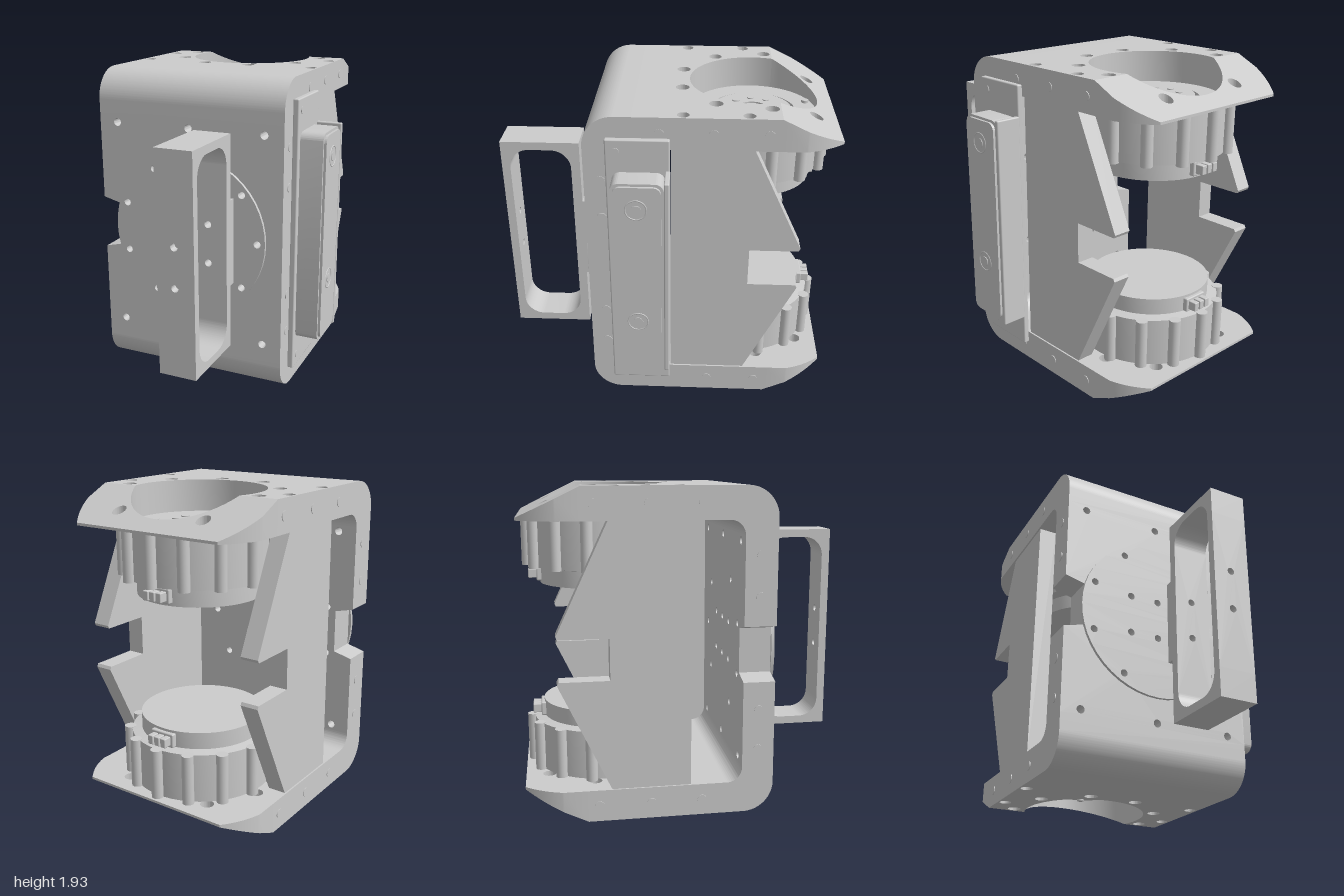
import * as THREE from 'three';
import { toCreasedNormals } from 'three/addons/utils/BufferGeometryUtils.js';
import { RoundedBoxGeometry } from 'three/addons/geometries/RoundedBoxGeometry.js';

const grey = new THREE.MeshStandardMaterial({ color: 0xcccccc });
const SIDES = [-1, 1];

function add(parent, name, geo, x = 0, y = 0, z = 0) {
  const mesh = new THREE.Mesh(geo, grey);
  mesh.name = name;
  mesh.position.set(x, y, z);
  parent.add(mesh);
  return mesh;
}

const poly = (pts) => new THREE.Shape(pts.map(([a, b]) => new THREE.Vector2(a, b)));

function drill(shape, list, r) {
  for (const [a, b] of list) {
    shape.holes.push(new THREE.Path().absarc(a, b, r, 0, Math.PI * 2, true));
  }
  return shape;
}

function extrude(shape, depth) {
  const geo = new THREE.ExtrudeGeometry(shape, { depth, bevelEnabled: false, curveSegments: 24 });
  return toCreasedNormals(geo, 0.5);
}

// shape drawn in (z, y), spanning x0..x1
function alongX(shape, x0, x1) {
  return extrude(shape, x1 - x0).rotateY(-Math.PI / 2).translate(x1, 0, 0);
}

// shape drawn in (x, -z), spanning y0..y1
function alongY(shape, y0, y1) {
  return extrude(shape, y1 - y0).rotateX(-Math.PI / 2).translate(0, y0, 0);
}

function box(parent, name, x0, x1, y0, y1, z0, z1, r = 0.008) {
  const geo = new RoundedBoxGeometry(x1 - x0, y1 - y0, z1 - z0, 2, r);
  return add(parent, name, geo, (x0 + x1) / 2, (y0 + y1) / 2, (z0 + z1) / 2);
}

function roundRect(x0, x1, y0, y1, r) {
  const s = new THREE.Shape();
  s.absarc(x1 - r, y1 - r, r, 0, Math.PI / 2);
  s.absarc(x0 + r, y1 - r, r, Math.PI / 2, Math.PI);
  s.absarc(x0 + r, y0 + r, r, Math.PI, Math.PI * 1.5);
  s.absarc(x1 - r, y0 + r, r, Math.PI * 1.5, Math.PI * 2);
  return s;
}

// screw head lying on a side face
function sideScrew(parent, x, y, z, r) {
  add(parent, 'sideScrew', new THREE.CylinderGeometry(r, r, 0.008, 20).rotateZ(Math.PI / 2), x, y, z);
}

const AXIS = 0.51; // distance of the motor axis behind the centre

function createMotor() {
  const g = new THREE.Group();
  g.name = 'motor';
  g.position.z = -AXIS;
  const profile = [[0, 0.37], [0.37, 0.37], [0.37, 0.47], [0.43, 0.48], [0.43, 0.774], [0.26, 0.774],
    [0.26, 0.75], [0.235, 0.75], [0.235, 0.785], [0.085, 0.785], [0.085, 0.765], [0.065, 0.765],
    [0.065, 0.785], [0.03, 0.785], [0.03, 0.765], [0, 0.765]];
  const lathe = new THREE.LatheGeometry(profile.map(([a, b]) => new THREE.Vector2(a, b)), 64);
  add(g, 'motorBody', toCreasedNormals(lathe, 0.5));
  // bosses round the casing
  for (let i = 0; i < 14; i++) {
    const a = (i + 0.5) / 14 * Math.PI * 2;
    add(g, 'casingBoss', new THREE.CylinderGeometry(0.035, 0.035, 0.3, 16),
      Math.cos(a) * 0.442, 0.625, Math.sin(a) * 0.442);
  }
  // screws in the output flange
  for (let i = 0; i < 9; i++) {
    const a = i / 9 * Math.PI * 2 + 0.3;
    const r = i % 3 ? 0.02 : 0.026;
    add(g, 'flangeScrew', new THREE.CylinderGeometry(r, r, 0.008, 16),
      Math.cos(a) * 0.145, 0.787, Math.sin(a) * 0.145);
  }
  add(g, 'locatingPin', new THREE.CylinderGeometry(0.022, 0.022, 0.02, 16), -0.12, 0.78, -0.33);
  // cable connector at the back
  box(g, 'connectorBase', -0.08, 0.08, 0.385, 0.47, -0.39, -0.33);
  for (const x of [-0.045, 0, 0.045]) box(g, 'connectorSocket', x - 0.018, x + 0.018, 0.4, 0.455, -0.44, -0.38, 0.005);
  return g;
}

// one end of the housing: plate, rounded front corner and motor
function createEnd(name) {
  const g = new THREE.Group();
  g.name = name;
  const R = 0.385, split = 0.64, low = 0.775, high = 0.965;
  const a0 = Math.asin((split - AXIS) / R), u = R * Math.cos(a0);
  const both = (list) => list.flatMap(([x, d]) => [[x, d], [-x, d]]);
  const small = both([[0.555, 0.46], [0.555, 0.1]]);
  const large = both([[0.45, 0.59], [0.39, 0.28], [0.15, 0.085]]);
  const rear = both([[0.29, 0.86]]);

  const flat = poly([[-0.6, -0.18], [0.6, -0.18], [0.6, split], [u, split]]);
  flat.absarc(0, AXIS, R, a0, Math.PI - a0, true);
  flat.lineTo(-0.6, split);
  drill(drill(flat, small, 0.035), large, 0.04);
  add(g, 'endPlate', alongY(flat, low, high));

  // tapered rear lip
  const lip = poly([[-0.6, split], [-u, split]]);
  lip.absarc(0, AXIS, R, Math.PI - a0, a0, true);
  lip.lineTo(0.6, split);
  lip.lineTo(0.6, 0.78);
  lip.quadraticCurveTo(0.57, 0.9, 0.48, 1);
  lip.lineTo(-0.48, 1);
  lip.quadraticCurveTo(-0.57, 0.9, -0.6, 0.78);
  const lipGeo = alongY(drill(lip, rear, 0.04), low, high);
  const p = lipGeo.attributes.position;
  for (let i = 0; i < p.count; i++) {
    if (p.getY(i) > 0.9) p.setY(i, high - (-p.getZ(i) - split) / (1 - split) * 0.175);
  }
  add(g, 'rearLip', toCreasedNormals(lipGeo, 0.3));

  // counterbore floors
  for (const [x, d] of [...small, ...large, ...rear]) {
    add(g, 'counterbore', new THREE.RingGeometry(0.018, 0.041, 20).rotateX(-Math.PI / 2), x, d > split ? 0.8 : 0.9, -d);
  }

  const corner = poly([[0.18, high], [0.28, high]]);
  corner.absarc(0.28, 0.785, 0.18, Math.PI / 2, 0, true);
  corner.lineTo(0.46, 0.685);
  corner.lineTo(0.27, 0.685);
  corner.absarc(0.18, 0.685, 0.09, 0, Math.PI / 2);
  add(g, 'frontCorner', alongX(corner, -0.6, 0.6));

  for (const s of SIDES) for (const z of [0.03, -0.27, -0.575]) sideScrew(g, s * 0.6, 0.87, z, 0.028);
  g.add(createMotor());
  return g;
}

function createHandle() {
  const g = new THREE.Group();
  g.name = 'handle';
  const x0 = 0.07, x1 = 0.3, bar = 0.49;
  const rect = [[x0, -bar], [x1, -bar], [x1, bar], [x0, bar]];
  const holes = [[0.18, 0.12], [0.18, -0.12]];
  const addBar = (name, z0, z1) =>
    add(g, name, extrude(drill(poly(rect), holes, 0.022), z1 - z0), 0, 0, z0);
  addBar('innerBar', 0.525, 0.58);
  addBar('gripBar', 0.95, 1);
  // arched ends
  for (const s of SIDES) {
    const end = poly([[0.525, s * bar], [0.525, s * 0.66], [1, s * 0.66], [1, s * bar], [0.95, s * bar]]);
    end.absarc(0.83, s * bar, 0.12, 0, s * Math.PI / 2, s < 0);
    end.absarc(0.7, s * bar, 0.12, s * Math.PI / 2, s * Math.PI, s < 0);
    add(g, 'handleEnd', alongX(end, x0, x1));
  }
  // foot joining the handle to the round plate
  const foot = poly([[x0, -0.265], [x1, -0.265], [x1, 0.265], [x0, 0.265]]);
  add(g, 'handleFoot', extrude(drill(foot, holes, 0.022), 0.05), 0, 0, 0.477);
  return g;
}

function createSideUnit() {
  const g = new THREE.Group();
  g.name = 'sideUnit';
  box(g, 'mountingPlate', 0.6, 0.636, -0.845, 0.845, -0.03, 0.33);
  box(g, 'backStrip', 0.63, 0.79, -0.655, 0.66, -0.035, -0.005);
  add(g, 'unitBody', alongX(roundRect(-0.005, 0.295, -0.65, 0.65, 0.05), 0.63, 0.775));
  add(g, 'unitCover', alongX(roundRect(0.01, 0.28, -0.635, 0.635, 0.045), 0.775, 0.79));
  for (const y of [0.495, -0.275]) {
    add(g, 'screwRing', new THREE.TorusGeometry(0.06, 0.005, 8, 32).rotateY(Math.PI / 2), 0.788, y, 0.15);
    sideScrew(g, 0.79, y, 0.15, 0.03);
  }
  for (const y of [0.775, -0.77]) sideScrew(g, 0.636, y, 0.27, 0.022);
  box(g, 'cableSocket', 0.67, 0.75, -0.665, -0.64, 0.07, 0.22, 0.004);
  return g;
}

export function createModel() {
  const model = new THREE.Group();
  model.name = 'motorHousing';
  model.position.set(-0.1, 0.965, 0);

  const top = createEnd('topEnd');
  const bottom = createEnd('bottomEnd');
  bottom.rotation.z = Math.PI;
  model.add(top, bottom);

  // front wall with cable notch, and the round plate on it
  const plateHoles = [[0.45, 0]];
  const wallHoles = [];
  for (const s of SIDES) {
    for (const x of [-0.18, 0, 0.18]) plateHoles.push([x, s * 0.12]);
    plateHoles.push([-0.42, s * 0.155], [0.35, s * 0.29], [-0.225, s * 0.39]);
    for (const x of [-0.48, 0, 0.48]) wallHoles.push([x, s * 0.65]);
  }
  const wall = poly([[-0.6, -0.685], [0.6, -0.685], [0.6, 0.685], [-0.6, 0.685],
    [-0.6, 0.165], [-0.48, 0.135], [-0.48, -0.135], [-0.6, -0.165]]);
  drill(drill(wall, wallHoles, 0.024), plateHoles, 0.022);
  add(model, 'frontWall', extrude(wall, 0.19), 0, 0, 0.27);
  const disc = new THREE.Shape().absarc(0, 0, 0.5, 0, Math.PI * 2);
  add(model, 'roundPlate', extrude(drill(disc, plateHoles, 0.022), 0.02), 0, 0, 0.46);

  // notched side panels
  const half = [[-0.035, 0.775], [-0.5, 0.775], [-0.8, 0.14], [-0.79, 0.122], [-0.5, 0.122]];
  const panel = poly([...half, ...half.map(([z, y]) => [z, -y]).reverse()]);
  for (const s of SIDES) {
    add(model, s < 0 ? 'rightPanel' : 'leftPanel', alongX(panel, s * 0.535 - 0.055, s * 0.535 + 0.055));
    for (const y of [-0.575, -0.335, 0.335, 0.575]) sideScrew(model, s * 0.6, y, 0.365, 0.028);
  }

  model.add(createHandle(), createSideUnit());
  const root = new THREE.Group();
  root.name = 'model';
  root.add(model);
  return root;
}
